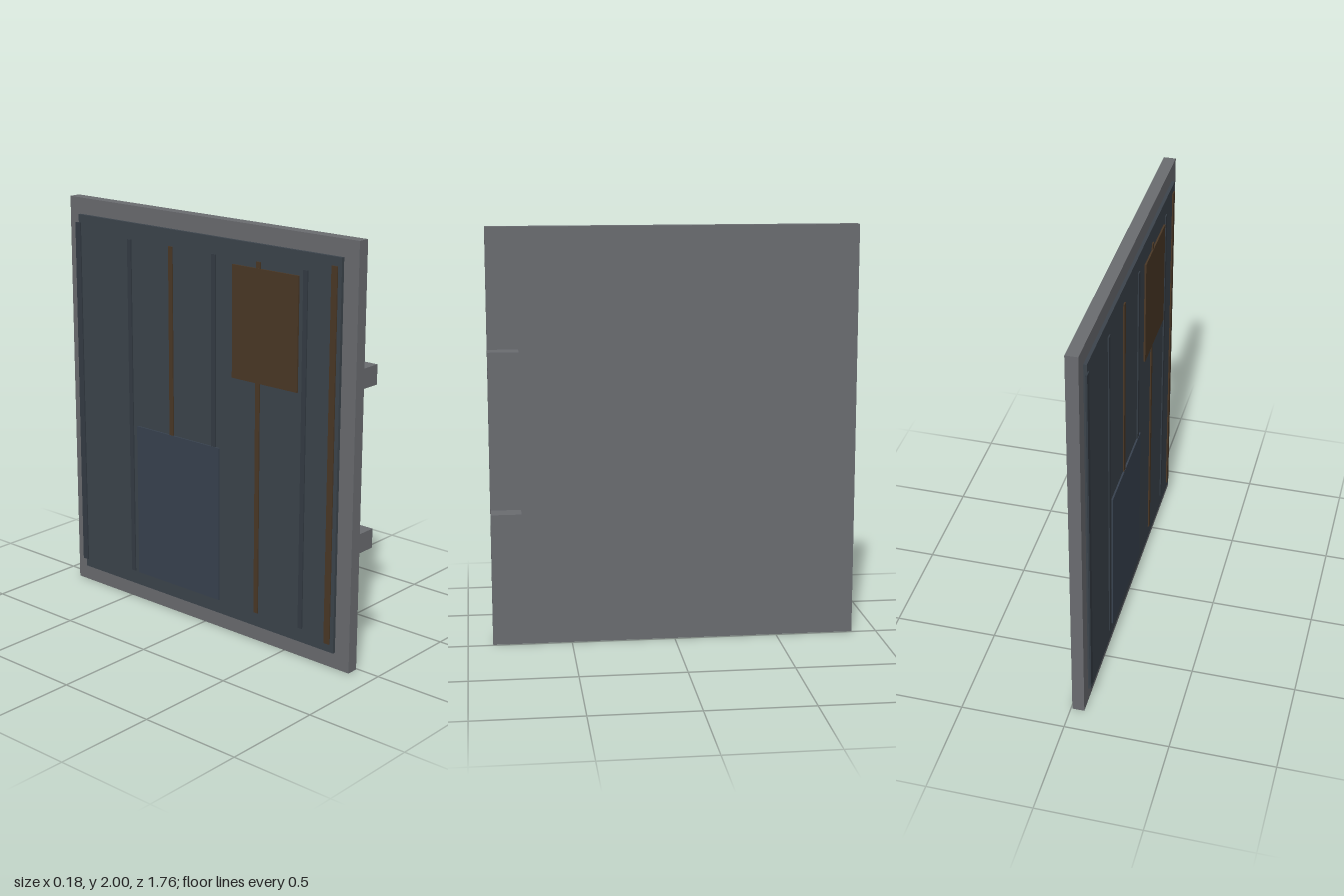
import * as THREE from 'three';

export function createModel() {
  const model = new THREE.Group();
  const paint = (color) => new THREE.MeshStandardMaterial({ color });
  const steel = paint(0x6a6c70);
  const dark = paint(0x3c444c);
  const slate = paint(0x343c44);
  const rust = paint(0x4a3826);
  const blue = paint(0x38424f);

  // Box given by its extents along each axis
  function block(name, material, [x0, x1], [y0, y1], [z0, z1]) {
    const mesh = new THREE.Mesh(new THREE.BoxGeometry(x1 - x0, y1 - y0, z1 - z0), material);
    mesh.name = name;
    mesh.position.set((x0 + x1) / 2, (y0 + y1) / 2, (z0 + z1) / 2);
    model.add(mesh);
  }

  // Door slab and the thin facing on its outer side
  block('doorSlab', steel, [-0.065, -0.007], [0, 2], [-0.88, 0.88]);
  block('facingPanel', dark, [-0.08, -0.065], [0.08, 1.92], [-0.81, 0.8]);

  // Edge trims
  const stripX = [-0.086, -0.078];
  block('rearEdgeTrim', slate, stripX, [0.12, 1.88], [-0.828, -0.795]);
  block('frontEdgeTrim', rust, stripX, [0.12, 1.88], [0.748, 0.78]);

  // Evenly spaced vertical ribs, alternating in colour
  for (let i = 0; i < 5; i++) {
    const z = -0.465 + i * 0.268;
    block('rib' + (i + 1), i % 2 ? rust : slate, stripX, [0.15, 1.84], [z - 0.012, z + 0.012]);
  }

  // Patch plates laid over the ribs
  block('lowerPatch', blue, [-0.088, -0.078], [0.15, 0.92], [-0.425, 0.108]);
  block('upperPatch', rust, [-0.088, -0.078], [1.28, 1.81], [0.188, 0.571]);

  // Hinge blocks on the inner side
  for (const [name, y] of [['lowerHinge', 0.618], ['upperHinge', 1.386]]) {
    block(name, steel, [-0.007, 0.088], [y - 0.046, y + 0.046], [0.735, 0.88]);
  }

  return model;
}
